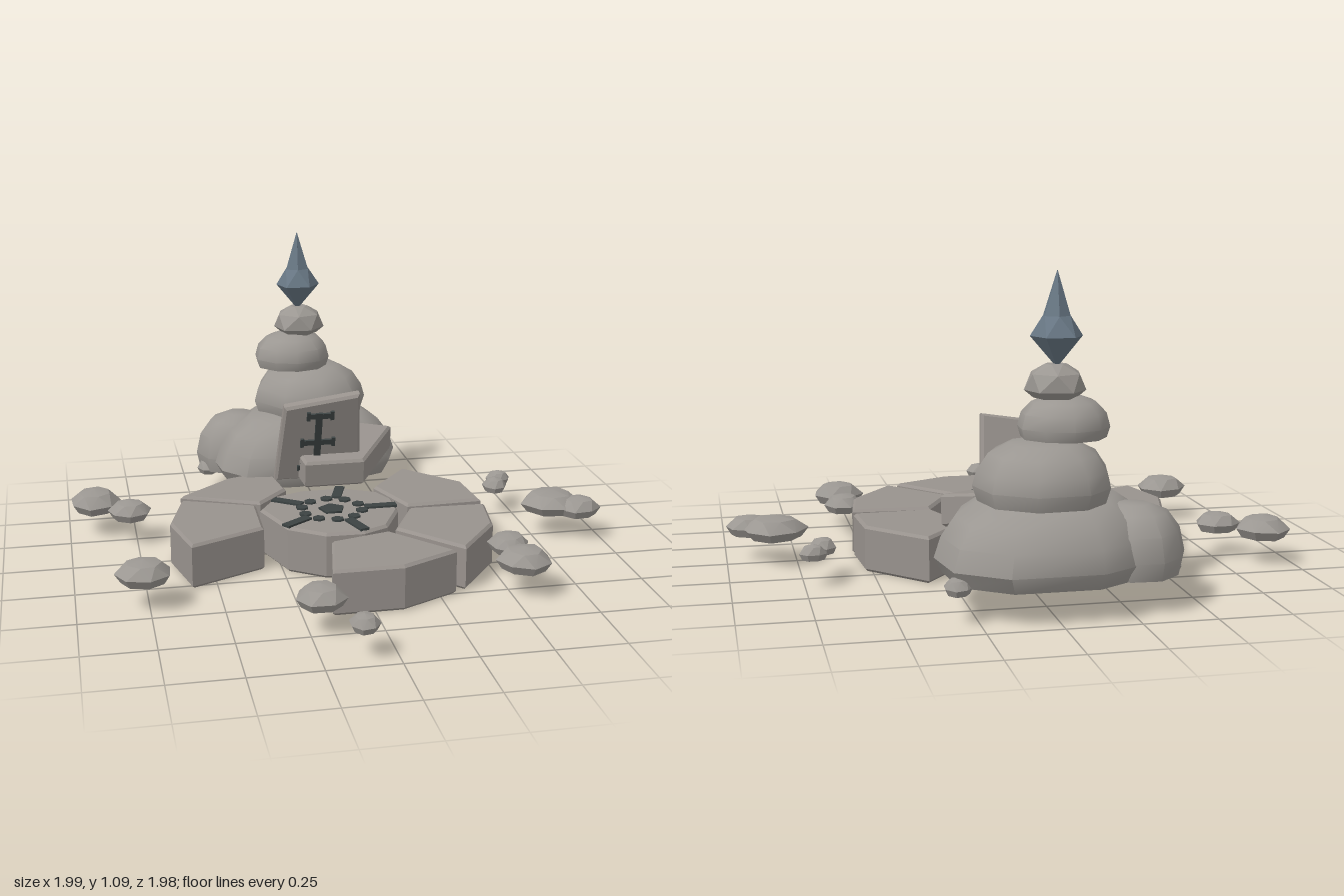
import * as THREE from 'three';
import { toCreasedNormals } from 'three/addons/utils/BufferGeometryUtils.js';

const mat = (name, color) => {
  const m = new THREE.MeshStandardMaterial({ color });
  m.name = name;
  return m;
};

export function createModel() {
  const model = new THREE.Group();
  const slabStone = mat('slabStone', 0x98928d);
  const rockStone = mat('rockStone', 0x9b9792);
  const darkCarving = mat('darkCarving', 0x3c4343);
  const crystalBlue = mat('crystalBlue', 0x687784);

  const add = (name, geo, material, parent = model) => {
    const m = new THREE.Mesh(geo, material);
    m.name = name;
    parent.add(m);
    return m;
  };

  // Bevelled prism from an outline in its own plane
  const prism = (pts, depth, b) => new THREE.ExtrudeGeometry(
    new THREE.Shape(pts.map(([x, y]) => new THREE.Vector2(x, y))),
    { depth: depth - 2 * b, bevelEnabled: true, bevelSize: b, bevelThickness: b, bevelOffset: -b, bevelSegments: 1 }
  ).translate(0, 0, b);

  // Flat slab from an [x, z] plan
  const slab = (pts, height) => prism(pts.map(([x, z]) => [x, -z]), height, 0.01).rotateX(-Math.PI / 2);

  // Closed stone: plan outline scaled at each [scale, y, twist] level
  const loft = (plan, levels, crease) => {
    const n = plan.length;
    const cx = plan.reduce((s, p) => s + p[0], 0) / n;
    const cz = plan.reduce((s, p) => s + p[1], 0) / n;
    const ring = plan.map(([x, z]) => [x - cx, z - cz])
      .sort((p, q) => Math.atan2(p[1], p[0]) - Math.atan2(q[1], q[0]));
    const pos = [], idx = [];
    for (const [s, y, t = 0] of levels) {
      for (const [x, z] of ring) {
        pos.push(cx + s * (x * Math.cos(t) - z * Math.sin(t)), y, cz + s * (x * Math.sin(t) + z * Math.cos(t)));
      }
    }
    const last = levels.length - 1, low = pos.length / 3, high = low + 1;
    pos.push(cx, levels[0][1], cz, cx, levels[last][1] + (levels[last][3] || 0), cz);
    for (let i = 0; i < n; i++) {
      const k = (i + 1) % n;
      idx.push(low, i, k, high, last * n + k, last * n + i);
      for (let j = 0; j < last; j++) {
        const a = j * n + i, b = j * n + k;
        idx.push(a, a + n, b, b, a + n, b + n);
      }
    }
    const g = new THREE.BufferGeometry();
    g.setAttribute('position', new THREE.Float32BufferAttribute(pos, 3));
    g.setIndex(idx);
    return toCreasedNormals(g, crease);
  };

  // Slightly irregular oval plan
  const oval = (x, z, rx, rz, n, wobble, seed = 0) => Array.from({ length: n }, (_, i) => {
    const a = (i / n) * Math.PI * 2 + seed;
    const r = 1 - wobble * (0.5 + 0.5 * Math.sin(i * 2.4 + seed * 5));
    return [x + rx * r * Math.cos(a), z + rz * r * Math.sin(a)];
  });

  // Paving ring and centre stone
  const paving = [
    [[-0.58, -0.2], [-0.31, -0.09], [-0.315, 0.15], [-0.59, 0.28], [-0.645, 0.04]],
    [[-0.58, -0.24], [-0.38, -0.42], [-0.2, -0.48], [-0.17, -0.25], [-0.29, -0.11]],
    [[0.33, -0.41], [0.525, -0.2], [0.54, 0.01], [0.25, 0.02], [0.17, -0.21]],
    [[0.25, 0.05], [0.54, 0.06], [0.51, 0.27], [0.35, 0.48], [0.15, 0.25]],
    [[-0.1, 0.33], [0.12, 0.27], [0.31, 0.5], [0.1, 0.605], [-0.15, 0.605]],
  ];
  paving.forEach((p, i) => add('pavingSlab' + (i + 1), slab(p, 0.165), slabStone));
  add('centreStone', slab([[-0.305, -0.02], [-0.23, -0.15], [-0.12, -0.195], [0.04, -0.195], [0.165, -0.13],
    [0.205, -0.04], [0.2, 0.08], [0.125, 0.235], [0.03, 0.283], [-0.11, 0.28], [-0.235, 0.19]], 0.172), slabStone);

  // Carved pattern on the centre stone
  const pattern = new THREE.Group();
  pattern.name = 'floorCarving';
  pattern.position.set(-0.043, 0.175, 0.038);
  model.add(pattern);
  add('pentagon', new THREE.CylinderGeometry(0.05, 0.05, 0.009, 5), darkCarving, pattern).rotation.y = Math.PI;
  for (let i = 0; i < 10; i++) {
    const a = (i + 0.5) * Math.PI / 5;
    add('hexStud', new THREE.CylinderGeometry(0.024, 0.024, 0.009, 6), darkCarving, pattern)
      .position.set(0.112 * Math.cos(a), 0, 0.112 * Math.sin(a));
  }
  for (let i = 0; i < 5; i++) {
    add('spoke', new THREE.BoxGeometry(0.12, 0.009, 0.036).translate(0.185, 0, 0), darkCarving, pattern)
      .rotation.y = i * Math.PI * 2 / 5;
  }

  // Tilted slab at the back
  const tilted = add('tiltedSlab', slab([[-0.15, -0.33], [-0.1, 0], [0.13, 0], [0.3, -0.28], [0.1, -0.36]], 0.11), slabStone);
  tilted.position.set(0, 0.172, -0.215);
  tilted.rotation.x = 0.17;

  // Leaning tablet with its carved sign
  const tablet = new THREE.Group();
  tablet.name = 'tablet';
  tablet.position.set(0, 0.18, -0.3);
  tablet.rotation.x = 0.32;
  model.add(tablet);
  add('tabletStone', prism([[-0.205, 0], [0.135, 0], [0.11, 0.385], [-0.18, 0.34]], 0.045, 0.01).translate(0, 0, -0.045),
    slabStone, tablet);
  const signBars = [
    [-0.045, 0.2, 0.026, 0.23], [-0.04, 0.302, 0.1, 0.022], [-0.045, 0.18, 0.13, 0.022],
    [-0.086, 0.302, 0.014, 0.038], [0.006, 0.302, 0.014, 0.038],
    [-0.106, 0.18, 0.014, 0.038], [0.016, 0.18, 0.014, 0.038],
    [-0.045, 0.075, 0.13, 0.022], [-0.11, 0.062, 0.02, 0.022],
  ];
  for (const [x, y, w, h] of signBars) {
    add('signBar', new THREE.BoxGeometry(w, h, 0.009).translate(x, y, 0.0045), darkCarving, tablet);
  }

  // Stacked boulders
  add('baseBoulder', loft(
    [[-0.4, -0.63], [-0.385, -0.51], [-0.3, -0.41], [-0.1, -0.39], [0.14, -0.44], [0.3, -0.51], [0.36, -0.68],
      [0.33, -0.88], [0.17, -0.995], [-0.13, -0.995], [-0.29, -0.9]],
    [[0.92, 0.11], [1, 0.165], [0.94, 0.235], [0.82, 0.3], [0.62, 0.35], [0.3, 0.365]], 0.75), rockStone);
  add('sideBoulder', loft(oval(-0.285, -0.765, 0.18, 0.175, 10, 0.06),
    [[0.93, 0.11], [1, 0.17], [0.9, 0.25], [0.65, 0.31], [0.3, 0.335]], 0.75), rockStone);
  add('middleBoulder', loft(
    [[-0.225, -0.69], [-0.19, -0.83], [-0.1, -0.92], [0.07, -0.93], [0.2, -0.84], [0.235, -0.69], [0.17, -0.55],
      [0.03, -0.495], [-0.13, -0.54]],
    [[0.93, 0.35], [1, 0.4], [0.94, 0.45], [0.78, 0.505], [0.5, 0.538], [0.2, 0.545]], 0.75), rockStone);
  add('upperBoulder', loft(oval(-0.068, -0.69, 0.158, 0.15, 10, 0.04, 0.3),
    [[0.93, 0.55], [1, 0.585], [0.92, 0.63], [0.7, 0.665], [0.35, 0.685]], 0.75), rockStone);
  add('capStone', loft(oval(-0.037, -0.7, 0.112, 0.105, 6, 0.1, 0.2),
    [[0.7, 0.68], [1, 0.705], [0.85, 0.76, 0.5], [0.35, 0.79, 0.9]], 0.1), rockStone);

  // Crystal on top
  add('crystal', loft(oval(-0.042, -0.7, 0.098, 0.098, 6, 0.14, 0.1),
    [[0.03, 0.78], [1, 0.88], [0.55, 0.945, 0.52], [0.01, 1.09]], 0.05), crystalBlue);

  // Scattered stones: x, z, half width, half depth
  const stones = [
    [-0.9, -0.36, 0.105, 0.11], [-0.775, -0.235, 0.085, 0.08], [-0.765, 0.4, 0.105, 0.1],
    [-0.21, 0.71, 0.095, 0.093], [-0.11, 0.925, 0.054, 0.062], [0.54, 0.37, 0.078, 0.092],
    [0.545, 0.54, 0.105, 0.1], [0.83, -0.01, 0.125, 0.12], [0.915, 0.06, 0.088, 0.078],
    [0.68, -0.265, 0.053, 0.053], [0.72, -0.35, 0.05, 0.042],
    [0.315, -0.865, 0.05, 0.06], [-0.42, -0.73, 0.05, 0.06],
  ];
  stones.forEach(([x, z, rx, rz], i) => {
    const h = 0.03 + 0.5 * Math.min(rx, 0.105);
    add('scatteredStone', loft(oval(x, z, rx, rz, 7, 0.12, i * 0.7),
      [[0.78, 0.093], [1, 0.093 + h * 0.4], [0.62, 0.093 + h * 0.85, 0.45, h * 0.15]], 0.4), rockStone);
  });

  return model;
}
